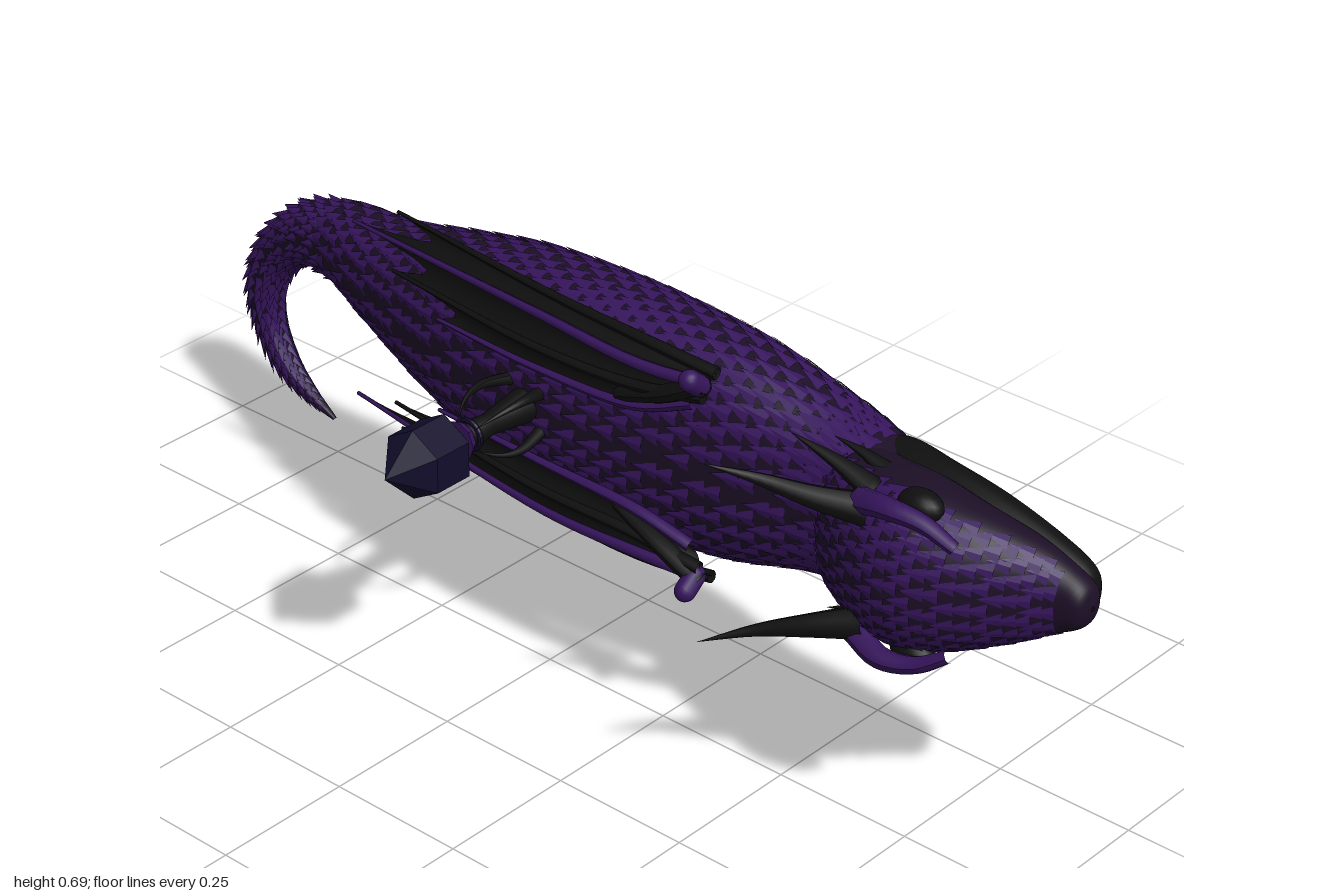
import * as THREE from 'three';
import { mergeGeometries } from 'three/addons/utils/BufferGeometryUtils.js';
import { ParametricGeometry } from 'three/addons/geometries/ParametricGeometry.js';

const V = (x, y, z) => new THREE.Vector3(x, y, z);
const mat = (color, extra = {}) => new THREE.MeshStandardMaterial({ color, ...extra });
const hide = mat(0x1c0f26), purple = mat(0x36155c, { flatShading: true, side: THREE.DoubleSide });
const black = mat(0x100f10, { side: THREE.DoubleSide }), bellyMat = mat(0x100d22);
const crystalMat = mat(0x120d2c, { flatShading: true }), metal = mat(0x36155c);
const MID = 0.482;

// Spine sections: x, y, z, half width, half depth
const BODY = [
  [0.68, MID, -0.09, 0.1, 0.075], [0.58, MID, -0.115, 0.125, 0.095], [0.48, MID, -0.128, 0.145, 0.105],
  [0.32, MID, -0.122, 0.185, 0.12], [0.15, MID, -0.118, 0.2, 0.13], [0, MID, -0.118, 0.2, 0.135],
  [-0.17, MID, -0.125, 0.185, 0.128], [-0.33, 0.485, -0.14, 0.145, 0.112], [-0.5, 0.485, -0.165, 0.098, 0.087],
  [-0.66, 0.476, -0.21, 0.07, 0.069], [-0.8, 0.435, -0.25, 0.055, 0.054], [-0.9, 0.36, -0.275, 0.044, 0.043],
  [-0.955, 0.27, -0.285, 0.036, 0.034], [-0.964, 0.18, -0.297, 0.029, 0.028], [-0.935, 0.1, -0.306, 0.023, 0.023],
  [-0.89, 0.045, -0.318, 0.015, 0.014], [-0.835, 0.006, -0.328, 0.003, 0.004]];
const HEAD = [
  [0.995, MID, -0.105, 0.004, 0.004], [0.985, MID, -0.105, 0.035, 0.03], [0.94, MID, -0.1, 0.062, 0.042],
  [0.88, MID, -0.078, 0.092, 0.068], [0.8, MID, -0.048, 0.122, 0.093], [0.72, MID, -0.038, 0.14, 0.108],
  [0.64, MID, -0.05, 0.134, 0.104], [0.56, MID, -0.08, 0.115, 0.09], [0.53, MID, -0.1, 0.06, 0.06]];
const JAW = [
  [0.985, MID, -0.125, 0.004, 0.004], [0.965, MID, -0.135, 0.042, 0.03], [0.9, MID, -0.135, 0.074, 0.04],
  [0.8, MID, -0.132, 0.105, 0.048], [0.7, MID, -0.132, 0.122, 0.05], [0.6, MID, -0.14, 0.122, 0.065],
  [0.52, MID, -0.14, 0.1, 0.05]];

// Returns surface(t, angle): boxy oval sections swept along a smooth spine
function sweep(rows, power) {
  const path = new THREE.CatmullRomCurve3(rows.map(r => V(r[0], r[1], r[2])), false, 'catmullrom');
  const size = new THREE.CatmullRomCurve3(rows.map(r => V(r[3], r[4], 0)), false, 'catmullrom');
  const sp = v => Math.sign(v) * Math.abs(v) ** power;
  return (t, a, k = 1) => {
    const p = path.getPoint(t), s = size.getPoint(t), T = path.getTangent(t);
    const L = V(-T.y, T.x, 0).normalize();
    const pos = p.addScaledVector(L, sp(Math.cos(a)) * s.x * k);
    pos.z += sp(Math.sin(a)) * s.y * k;
    return { pos, T, s };
  };
}

// Skin over a sweep between two angles, with an optional swelling rule
function skin(surface, n, m, a0, a1, swell = () => 1) {
  const pos = [], idx = [];
  for (let i = 0; i <= n; i++) for (let j = 0; j <= m; j++) {
    pos.push(...surface(i / n, a0 + (a1 - a0) * j / m, swell(i)).pos.toArray());
    if (i < n && j < m) {
      const a = i * (m + 1) + j, c = a + m + 1;
      idx.push(a, a + 1, c, a + 1, c + 1, c);
    }
  }
  const g = new THREE.BufferGeometry();
  g.setAttribute('position', new THREE.Float32BufferAttribute(pos, 3));
  g.setIndex(idx);
  g.computeVertexNormals();
  return g;
}

// Overlapping pointed scales in staggered rows, tips lifted toward the tail
function scales(surface, rows, t0, t1, pitch, a0, a1, lift, flat) {
  const list = [];
  for (let i = 0; i < rows; i++) {
    const t = t0 + (t1 - t0) * i / (rows - 1), { s } = surface(t, 0);
    const n = Math.max(4, Math.round((s.x + s.y) / 2 * (a1 - a0) / pitch));
    const w = Math.min(pitch, (s.x + s.y) / 2 * (a1 - a0) / n) * 0.5;
    for (let j = 0; j < n; j++) {
      const a = a0 + (a1 - a0) * (j + (i % 2 ? 0.75 : 0.25)) / n;
      const { pos, T } = surface(t, a);
      const side = surface(t, a + 0.03).pos.sub(surface(t, a - 0.03).pos).normalize();
      const back = surface(t + 0.004, a).pos.sub(surface(t - 0.004, a).pos).normalize();
      const out = V(0, 0, 0).crossVectors(side, back).normalize();
      const dir = T.copy(back).addScaledVector(out, lift).normalize();
      side.crossVectors(dir, out).normalize();
      out.crossVectors(side, dir);
      const g = new THREE.ConeGeometry(w, w * 3, 5, 1, true);
      g.scale(1, 1, flat);
      g.applyMatrix4(new THREE.Matrix4().makeBasis(side, dir, out).setPosition(pos.addScaledVector(dir, w * 0.5)));
      list.push(g);
    }
  }
  return mergeGeometries(list);
}

// Tube that narrows to a point (end = 0) or to a share of its radius
function taper(points, r, end = 0, n = 14) {
  const curve = new THREE.CatmullRomCurve3(points.map(p => V(...p)));
  const g = new THREE.TubeGeometry(curve, n, r, 8), p = g.attributes.position, v = V(0, 0, 0);
  for (let i = 0; i < p.count; i++) {
    const t = Math.floor(i / 9) / n;
    v.fromBufferAttribute(p, i).lerp(curve.getPointAt(t), t * (1 - end));
    p.setXYZ(i, v.x, v.y, v.z);
  }
  g.computeVertexNormals();
  return g;
}

export function createModel() {
  const root = new THREE.Group();
  const add = (name, geo, m, parent = root) => {
    const mesh = new THREE.Mesh(geo, m);
    mesh.name = name;
    parent.add(mesh);
    return mesh;
  };
  const PI = Math.PI;
  const body = sweep(BODY, 0.8), head = sweep(HEAD, 0.9), jaw = sweep(JAW, 0.85);

  // Body, banded belly and scales
  add('body', skin(body, 120, 32, -0.5, PI + 0.5), hide);
  add('belly', skin(body, 160, 20, PI + 0.45, 2 * PI - 0.45, i => 1.0 + 0.005 * (i % 4)), bellyMat);
  add('bodyScales', scales(body, 46, 0.07, 0.57, 0.034, -0.4, PI + 0.4, 0.12, 0.28), purple);
  add('tailScales', scales(body, 40, 0.575, 0.97, 0.026, -0.3, PI + 0.3, 0.42, 0.4), purple);

  // Head and lower jaw
  add('head', skin(head, 48, 40, 0, 2 * PI), hide);
  add('headScales', scales(head, 22, 0.25, 0.9, 0.028, 0.25, PI - 0.25, 0.03, 0.22), purple);
  add('lowerJaw', skin(jaw, 40, 32, 0, 2 * PI), black);

  for (const s of [1, -1]) {
    const at = (x, d, z) => [x, MID + s * d, z];
    const label = s > 0 ? 'upper' : 'lower';

    // Brow, eye and horns
    const face = new THREE.Group();
    face.name = label + 'FaceSide';
    root.add(face);
    add('brow', taper([at(0.66, 0.115, 0.035), at(0.72, 0.132, 0.05), at(0.78, 0.125, 0.04), at(0.83, 0.095, 0.025)], 0.022, 0.5), metal, face);
    const eye = add('eye', new THREE.SphereGeometry(0.028, 16, 12), black, face);
    eye.position.set(...at(0.75, 0.13, 0.005));
    eye.scale.set(1.4, 0.9, 1);
    add('mainHorn', taper([at(0.67, 0.1, 0.03), at(0.6, 0.115, 0.075), at(0.53, 0.135, 0.115), at(0.46, 0.16, 0.172)], 0.028), black, face);
    add('sideHorn', taper([at(0.66, 0.115, 0), at(0.6, 0.145, 0.012), at(0.52, 0.18, 0.035)], 0.022), black, face);
    add('cheekHorn', taper([at(0.65, 0.12, -0.05), at(0.6, 0.14, -0.045), at(0.55, 0.155, -0.035)], 0.016), black, face);

    // Folded wing: fingers with membrane between them
    const wing = new THREE.Group();
    wing.name = label + 'Wing';
    root.add(wing);
    const fingers = [
      [at(0.33, 0.185, -0.02), at(0.2, 0.198, -0.01), at(0, 0.203, -0.015), at(-0.39, 0.206, -0.055)],
      [at(0.33, 0.175, 0.005), at(0.2, 0.172, 0.02), at(0, 0.18, 0.015), at(-0.48, 0.165, -0.04)],
      [at(0.33, 0.155, 0.012), at(0.2, 0.135, 0.025), at(0, 0.13, 0.032), at(-0.36, 0.125, -0.01)],
      [at(0.3, 0.13, 0), at(0.2, 0.095, 0.018), at(0, 0.085, 0.022), at(-0.24, 0.085, 0.01)]];
    const curves = fingers.map(f => new THREE.CatmullRomCurve3(f.map(p => V(...p))));
    fingers.forEach((f, i) => {
      add('wingFinger', taper(f, 0.011, 0.3, 20), i % 2 ? metal : black, wing);
      if (i === 3) return;
      // Membrane sags between fingers and is cut back at its rear edge
      add('wingMembrane', new ParametricGeometry((u, v, out) => {
        const q = u * (1 - 0.1 * Math.sin(PI * v));
        out.copy(curves[i].getPoint(q)).lerp(curves[i + 1].getPoint(q), v);
        out.z -= 0.008 * Math.sin(PI * v);
      }, 20, 6), black, wing);
    });
    const knuckle = add('wingKnuckle', new THREE.CapsuleGeometry(0.018, 0.03, 6, 12), metal, wing);
    knuckle.position.set(...at(0.32, 0.182, 0.022));
    knuckle.rotation.x = s * 0.9;
    add('wingArm', taper([at(0.33, 0.18, 0.01), at(0.26, 0.14, 0.02), at(0.16, 0.1, 0.015)], 0.018, 0.7), black, wing);
  }

  // Crystal on a post rising from the back, held by curved prongs
  const ornament = new THREE.Group();
  ornament.name = 'crystalMount';
  ornament.position.set(-0.045, MID, 0);
  ornament.rotation.x = PI / 2;
  root.add(ornament);
  const turned = (pts, n) => new THREE.LatheGeometry(pts.map(p => new THREE.Vector2(...p)), n);
  add('post', turned([[0.032, 0], [0.024, 0.06], [0.019, 0.1], [0.023, 0.145], [0.012, 0.17]], 16), black, ornament);
  add('ring', new THREE.TorusGeometry(0.025, 0.005, 8, 24).rotateX(PI / 2).translate(0, 0.143, 0), crystalMat, ornament);
  add('collar', turned([[0, 0.154], [0.025, 0.154], [0.036, 0.171], [0, 0.171]], 8), purple, ornament);
  add('crystal', turned([[0, 0.165], [0.018, 0.167], [0.062, 0.2], [0.062, 0.272], [0, 0.336]], 6), crystalMat, ornament);
  for (let i = 0; i < 4; i++) {
    const prong = add('prong', taper([[0.05, 0.01, 0], [0.062, 0.07, 0], [0.054, 0.11, 0], [0.026, 0.153, 0]], 0.012), black, ornament);
    prong.rotation.y = PI / 4 + i * PI / 2;
  }
  return root;
}
